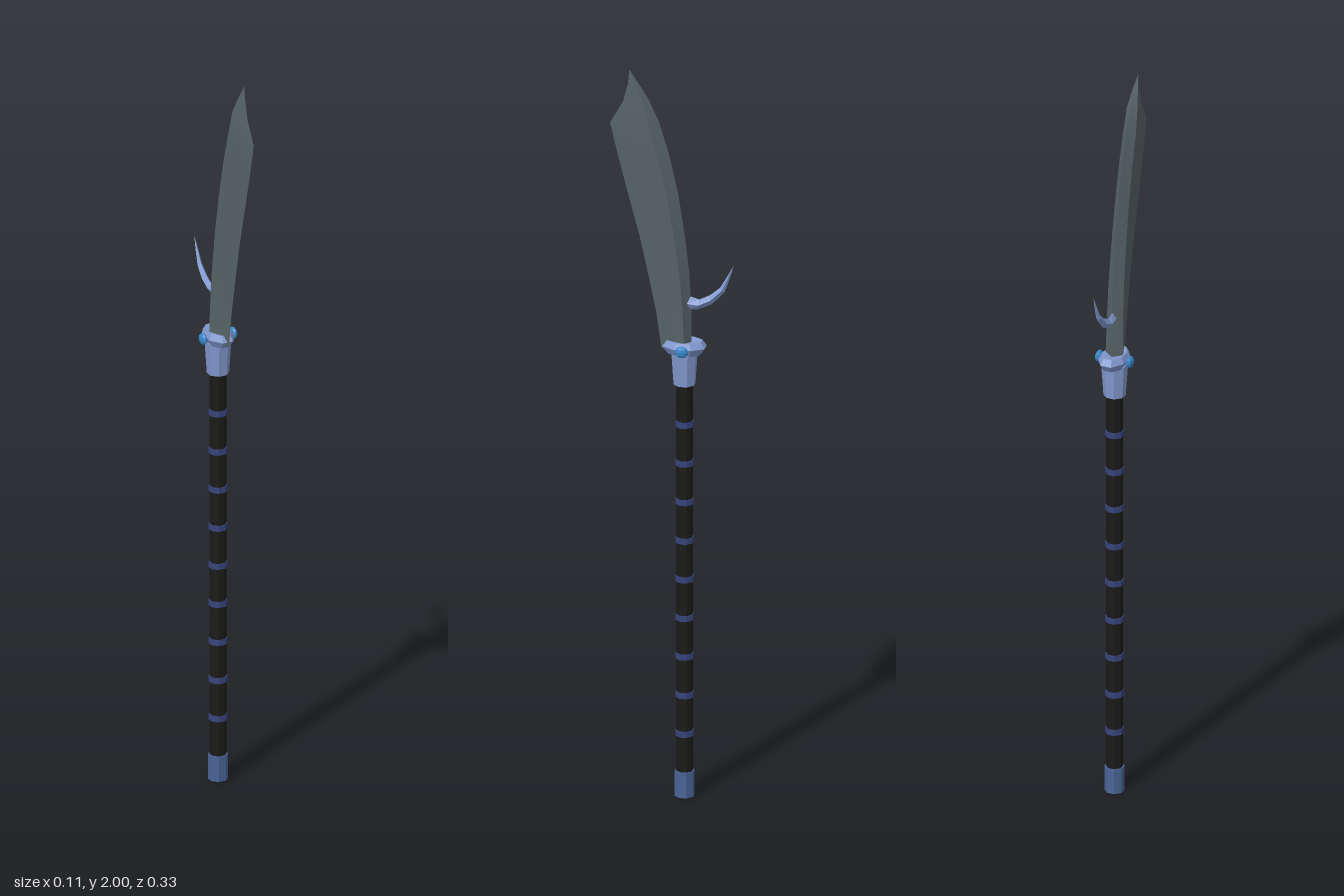
import * as THREE from 'three';
import { toCreasedNormals } from 'three/addons/utils/BufferGeometryUtils.js';

const AXIS_Z = -0.033; // the pole stands slightly behind the centre

const mat = (color, flat = true) => new THREE.MeshStandardMaterial({ color, flatShading: flat });
const dark = mat(0x1a1a19);
const steel = mat(0x566366, false);
const blue = mat(0x4a6496);
const paleBlue = mat(0x8299cf);
const ringBlue = mat(0x38447c);
const gemBlue = mat(0x3a88cc);

function add(group, name, geometry, material, x, y, z) {
  const mesh = new THREE.Mesh(geometry, material);
  mesh.name = name;
  mesh.position.set(x, y, z);
  group.add(mesh);
  return mesh;
}

// Lofts diamond sections. Each row: spine z, y, edge z, y, half thickness.
// "shoulder" places the thickest line between spine and edge.
function loftDiamond(rows, shoulder) {
  const pos = [];
  const index = [];
  for (const [bz, by, ez, ey, w] of rows) {
    const sz = bz + (ez - bz) * shoulder;
    const sy = by + (ey - by) * shoulder;
    pos.push(0, by, bz, w, sy, sz, 0, ey, ez, -w, sy, sz);
  }
  for (let i = 0; i < rows.length - 1; i++) {
    for (let j = 0; j < 4; j++) {
      const a = i * 4 + j;
      const b = i * 4 + ((j + 1) % 4);
      index.push(a, a + 4, b + 4, a, b + 4, b);
    }
  }
  index.push(0, 1, 2, 0, 2, 3); // base cap
  const geometry = new THREE.BufferGeometry();
  geometry.setAttribute('position', new THREE.Float32BufferAttribute(pos, 3));
  geometry.setIndex(index);
  return toCreasedNormals(geometry, 0.45);
}

export function createModel() {
  const model = new THREE.Group();
  model.name = 'glaive';

  // Pole with its butt cap and evenly spaced bands
  add(model, 'shaft', new THREE.CylinderGeometry(0.022, 0.022, 1.12, 8), dark, 0, 0.6, AXIS_Z)
    .rotation.y = Math.PI / 8;
  add(model, 'buttCap', new THREE.CylinderGeometry(0.026, 0.026, 0.07, 8), blue, 0, 0.035, AXIS_Z)
    .rotation.y = Math.PI / 8;
  for (let i = 0; i < 9; i++) {
    add(model, 'band', new THREE.CylinderGeometry(0.0245, 0.0245, 0.016, 8), ringBlue,
      0, 0.175 + i * 0.107, AXIS_Z).rotation.y = Math.PI / 8;
  }

  // Flared socket
  add(model, 'socket', new THREE.CylinderGeometry(0.035, 0.029, 0.09, 8), paleBlue, 0, 1.185, AXIS_Z)
    .rotation.y = Math.PI / 8;

  // Faceted collar, longer front to back
  const collarProfile = [[0, -0.02], [0.75, -0.018], [1, 0.002], [0.8, 0.018], [0, 0.012]]
    .map(([r, y]) => new THREE.Vector2(r, y));
  add(model, 'collar', new THREE.LatheGeometry(collarProfile, 8, Math.PI / 8), paleBlue, 0, 1.243, AXIS_Z)
    .scale.set(0.039, 1, 0.06);

  // Gem on each side of the collar
  for (const side of [-1, 1]) {
    add(model, side > 0 ? 'leftGem' : 'rightGem', new THREE.SphereGeometry(1, 8, 6), gemBlue,
      side * 0.044, 1.243, AXIS_Z).scale.set(0.009, 0.016, 0.018);
  }

  // Curved single-edged blade with a thick ridged spine
  const blade = loftDiamond([
    [-0.052, 1.235, 0.028, 1.235, 0.025],
    [-0.051, 1.34, 0.041, 1.33, 0.023],
    [-0.046, 1.44, 0.059, 1.42, 0.022],
    [-0.034, 1.55, 0.085, 1.54, 0.021],
    [-0.017, 1.66, 0.114, 1.65, 0.020],
    [0.007, 1.77, 0.142, 1.76, 0.019],
    [0.034, 1.86, 0.163, 1.85, 0.018],
    [0.061, 1.92, 0.129, 1.91, 0.015],
    [0.089, 1.965, 0.116, 1.96, 0.007],
    [0.112, 2.0, 0.112, 2.0, 0],
  ], 0.2);
  add(model, 'blade', blade, steel, 0, 0, 0);

  // Upswept hook behind the blade
  const hook = loftDiamond([
    [-0.04, 1.345, -0.04, 1.385, 0.010],
    [-0.068, 1.348, -0.072, 1.376, 0.010],
    [-0.105, 1.365, -0.1, 1.39, 0.009],
    [-0.138, 1.4, -0.126, 1.412, 0.007],
    [-0.152, 1.44, -0.144, 1.443, 0.004],
    [-0.163, 1.477, -0.163, 1.477, 0],
  ], 0.5);
  add(model, 'hook', hook, paleBlue, 0, 0, 0);

  return model;
}
